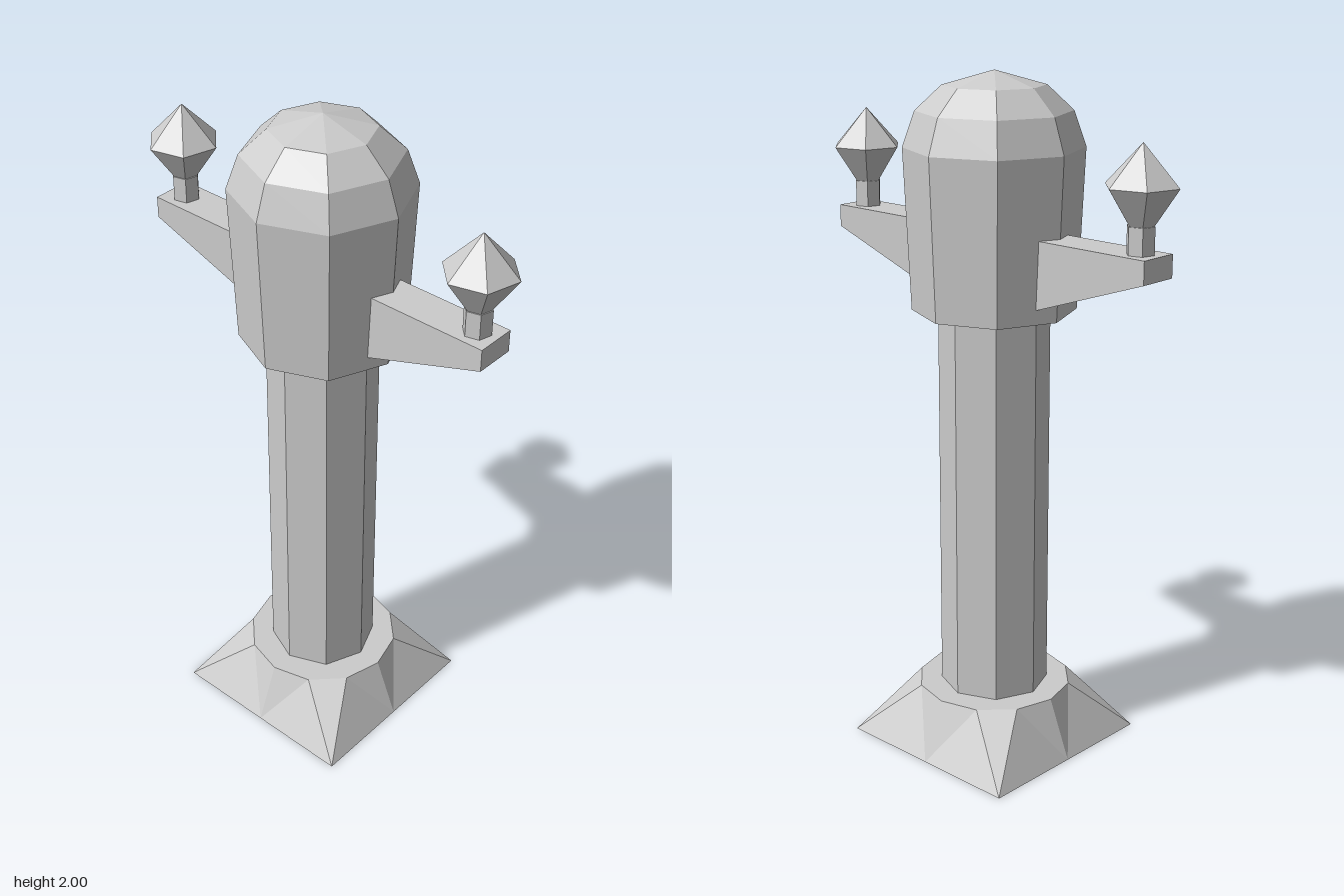
import * as THREE from 'three';

export function createModel() {
  const model = new THREE.Group();
  model.name = 'lampPost';
  const mat = new THREE.MeshStandardMaterial({ color: 0xcccccc, flatShading: true });
  const openMat = mat.clone();
  openMat.side = THREE.DoubleSide;

  const add = (name, geo, parent = model, material = mat) => {
    const mesh = new THREE.Mesh(geo, material);
    mesh.name = name;
    parent.add(mesh);
    return mesh;
  };
  const lathe = (pts, sides) =>
    new THREE.LatheGeometry(pts.map(([r, y]) => new THREE.Vector2(r, y)), sides);

  // Foot: open square bottom blending into a twelve-sided top
  const h = 0.175, w = 0.3, r = 0.23;
  const ring = (deg) => {
    const a = THREE.MathUtils.degToRad(deg);
    return [r * Math.sin(a), h, r * Math.cos(a)];
  };
  const A = [-w, 0, w], M = [0, 0, w], B = [w, 0, w], C = [0, h, 0];
  const P0 = ring(-30), P1 = ring(0), P2 = ring(30), Q = ring(60);
  const quarter = [
    A, M, P0, M, P1, P0, M, P2, P1, M, B, P2, B, Q, P2, // sloping side and corner
    C, P0, P1, C, P1, P2, C, P2, Q,                     // top
  ];
  const verts = [];
  for (let i = 0; i < 4; i++) {
    const c = Math.round(Math.cos(i * Math.PI / 2)), s = Math.round(Math.sin(i * Math.PI / 2));
    for (const [x, y, z] of quarter) verts.push(x * c + z * s, y, z * c - x * s);
  }
  const foot = new THREE.BufferGeometry();
  foot.setAttribute('position', new THREE.Float32BufferAttribute(verts, 3));
  foot.computeVertexNormals();
  add('foot', foot, model, openMat);

  // Octagonal column
  add('column', new THREE.CylinderGeometry(0.16, 0.16, 1.175, 8)).position.y = 0.7575;

  // Domed octagonal head
  add('head', lathe([[0, 1.33], [0.235, 1.33], [0.255, 1.79], [0.22, 1.89], [0.145, 1.96], [0, 2]], 8));

  // Tapered bracket, post and faceted finial on the front and back
  const profile = new THREE.Shape([[0.12, 1.34], [0.58, 1.5], [0.58, 1.565], [0.12, 1.565]]
    .map(([z, y]) => new THREE.Vector2(z, y)));
  const bracket = new THREE.ExtrudeGeometry(profile, { depth: 0.12, bevelEnabled: false });
  bracket.translate(0, 0, -0.06).rotateY(-Math.PI / 2);
  const post = new THREE.CylinderGeometry(0.04, 0.04, 0.09, 6);
  const finial = lathe([[0, 1.63], [0.03, 1.63], [0.105, 1.743], [0, 1.855]], 6);

  for (const [side, dir] of [['front', 1], ['back', -1]]) {
    const arm = new THREE.Group();
    arm.name = side + 'Arm';
    model.add(arm);
    add('bracket', bracket, arm).rotation.y = dir > 0 ? 0 : Math.PI;
    const p = add('post', post, arm);
    p.position.set(0, 1.595, dir * 0.52);
    const f = add('finial', finial, arm);
    f.position.z = dir * 0.52;
    p.rotation.y = f.rotation.y = Math.PI / 12;
  }
  return model;
}
